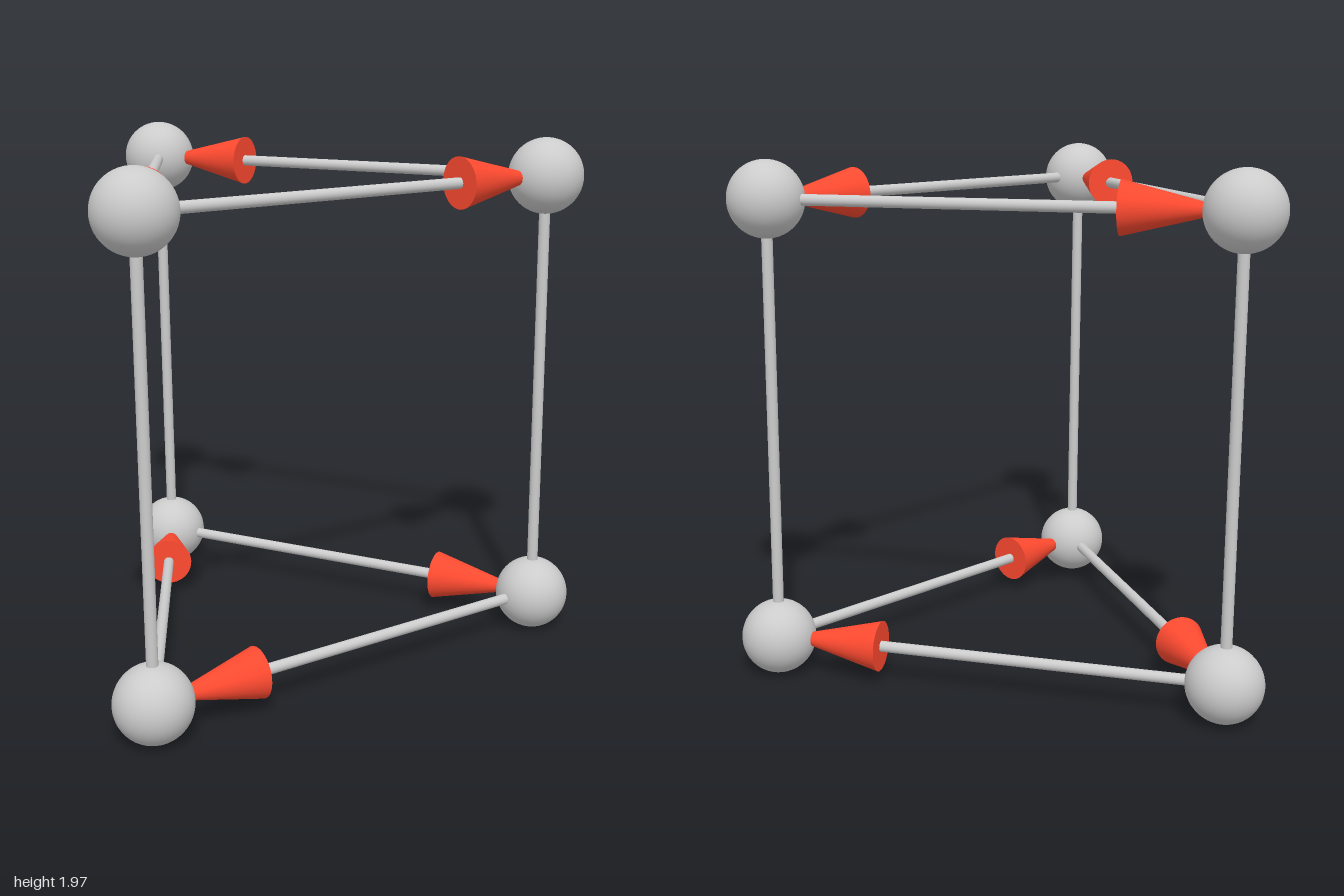
import * as THREE from 'three';

const BALL_R = 0.143, ROD_R = 0.021;
const HEAD_R = 0.096, HEAD_BASE = 0.417, HEAD_LEN = 0.39;
const LOW = 0.143, HIGH = 1.828;
const RADIUS = 0.99; // triangle circumradius

export function createModel() {
  const group = new THREE.Group();
  const grey = new THREE.MeshStandardMaterial({ color: 0xcccccc });
  const red = new THREE.MeshStandardMaterial({ color: 0xff4a30 });
  const up = new THREE.Vector3(0, 1, 0);

  const add = (name, geometry, material, position) => {
    const mesh = new THREE.Mesh(geometry, material);
    mesh.name = name;
    mesh.position.copy(position);
    group.add(mesh);
    return mesh;
  };

  const addRod = (name, from, to) => {
    const dir = to.clone().sub(from);
    const rod = add(name, new THREE.CylinderGeometry(ROD_R, ROD_R, dir.length(), 24), grey,
      from.clone().add(to).multiplyScalar(0.5));
    rod.quaternion.setFromUnitVectors(up, dir.normalize());
  };

  // Rod from one ball to the next, ending in a cone that touches the target ball
  const addArrow = (level, from, to) => {
    const dir = to.clone().sub(from).normalize();
    const base = to.clone().addScaledVector(dir, -HEAD_BASE);
    addRod(level + 'ArrowShaft', from, base);
    const head = add(level + 'ArrowHead', new THREE.ConeGeometry(HEAD_R, HEAD_LEN, 40), red,
      base.clone().addScaledVector(dir, HEAD_LEN / 2));
    head.quaternion.setFromUnitVectors(up, dir);
  };

  // Corners of the prism: +x, back -x, front -x
  const corners = (y) => [0, 1, 2].map((i) => {
    const a = (i * Math.PI * 2) / 3;
    return new THREE.Vector3(RADIUS * (Math.cos(a) - 0.25), y, -RADIUS * Math.sin(a));
  });
  const bottom = corners(LOW), top = corners(HIGH);

  const ball = new THREE.SphereGeometry(BALL_R, 40, 28);
  for (let i = 0; i < 3; i++) {
    const next = (i + 1) % 3;
    add('bottomBall', ball, grey, bottom[i]);
    add('topBall', ball, grey, top[i]);
    addRod('uprightRod', bottom[i], top[i]);
    // The two rings of arrows run in opposite directions
    addArrow('top', top[i], top[next]);
    addArrow('bottom', bottom[next], bottom[i]);
  }
  return group;
}
